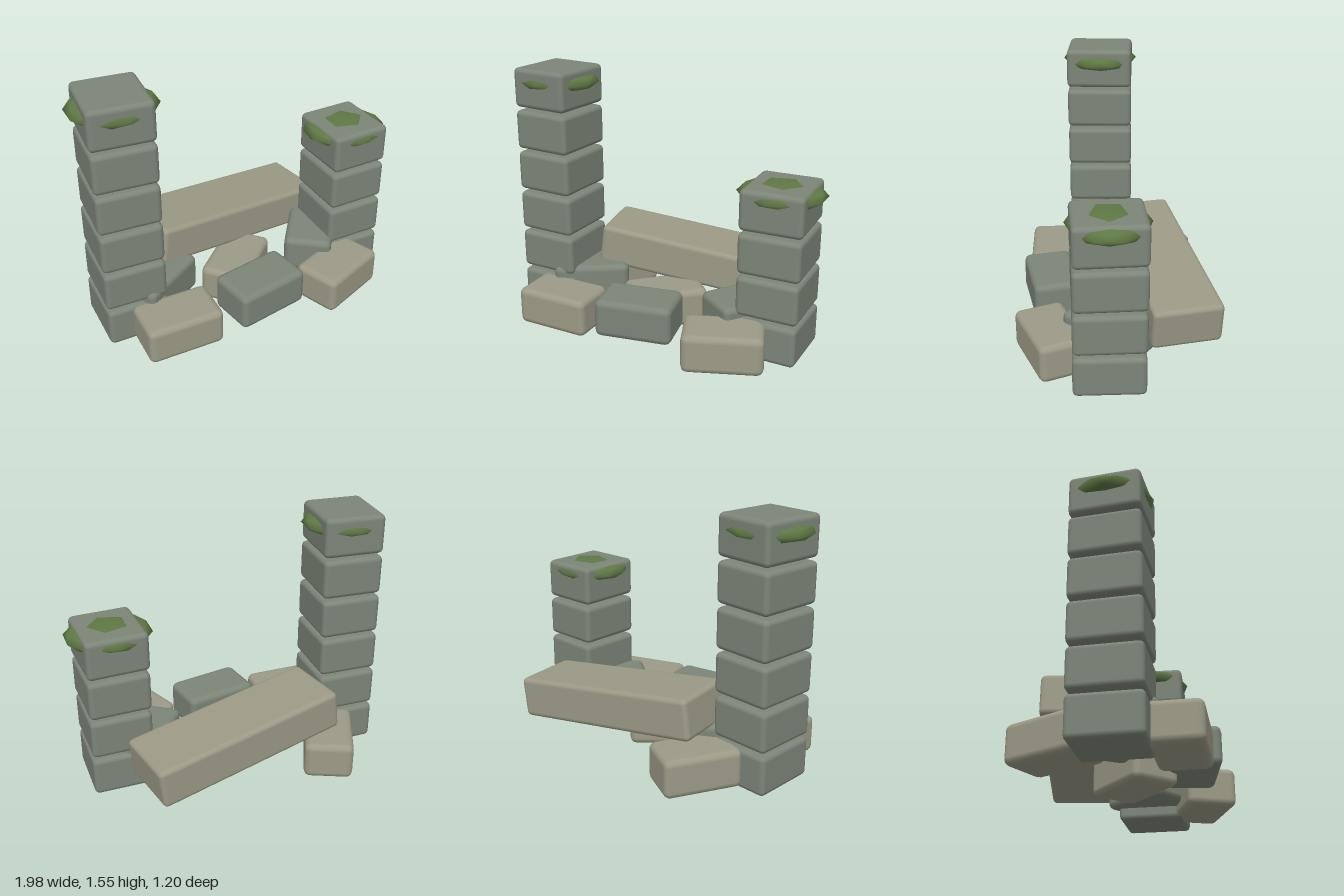
import * as THREE from 'three';
import { RoundedBoxGeometry } from 'three/addons/geometries/RoundedBoxGeometry.js';

const greyStone = new THREE.MeshStandardMaterial({ color: 0x7d8578 });
const tanStone = new THREE.MeshStandardMaterial({ color: 0x9c9a86 });
const mossGreen = new THREE.MeshStandardMaterial({ color: 0x5f7844 });

// Block with softened edges
function stone(name, size, radius, material) {
  const mesh = new THREE.Mesh(new RoundedBoxGeometry(...size, 2, radius), material);
  mesh.name = name;
  return mesh;
}

// Stack of blocks, each twisted a little further than the one below,
// with a flat clump of moss poking out of the top block
function pillar(name, x, count, twist, mossY) {
  const group = new THREE.Group();
  group.name = name;
  group.position.set(x, 0, 0.06);
  for (let i = 0; i < count; i++) {
    const block = stone('pillarBlock', [0.375, 0.243, 0.41], 0.03, greyStone);
    block.position.y = 0.125 + i * 0.262;
    block.rotation.y = twist * i;
    group.add(block);
  }
  const clump = new THREE.IcosahedronGeometry(1, 1);
  clump.rotateZ(-0.5536); // one corner straight up
  clump.scale(0.262, 0.064, 0.235);
  const moss = new THREE.Mesh(clump, mossGreen);
  moss.name = 'moss';
  moss.position.y = mossY;
  group.add(moss);
  return group;
}

export function createModel() {
  const model = new THREE.Group();
  model.name = 'ruinedGateway';

  // Tall and broken pillars
  model.add(pillar('rightPillar', -0.75, 6, -0.016, 1.47));
  model.add(pillar('leftPillar', 0.735, 4, 0.016, 0.977));

  // Fallen lintel leaning across the rubble
  const lintel = stone('fallenLintel', [1.23, 0.25, 0.42], 0.03, tanStone);
  lintel.position.set(0.07, 0.345, -0.28);
  lintel.rotation.set(0, 0.19, -0.12);
  model.add(lintel);

  // Rubble in rows of three, turning steadily and alternating in colour and height
  const columns = [-0.555, -0.01, 0.54];
  const rows = [0.385, 0.05, -0.28];
  for (let i = 0; i < 7; i++) {
    const raised = i % 2 === 1;
    const rubble = stone('rubbleStone', [0.47, 0.235, 0.3], 0.04, raised ? greyStone : tanStone);
    rubble.position.set(columns[i % 3], raised ? 0.195 : 0.127, rows[Math.floor(i / 3)]);
    rubble.rotation.y = i * 0.19;
    model.add(rubble);
  }
  return model;
}
